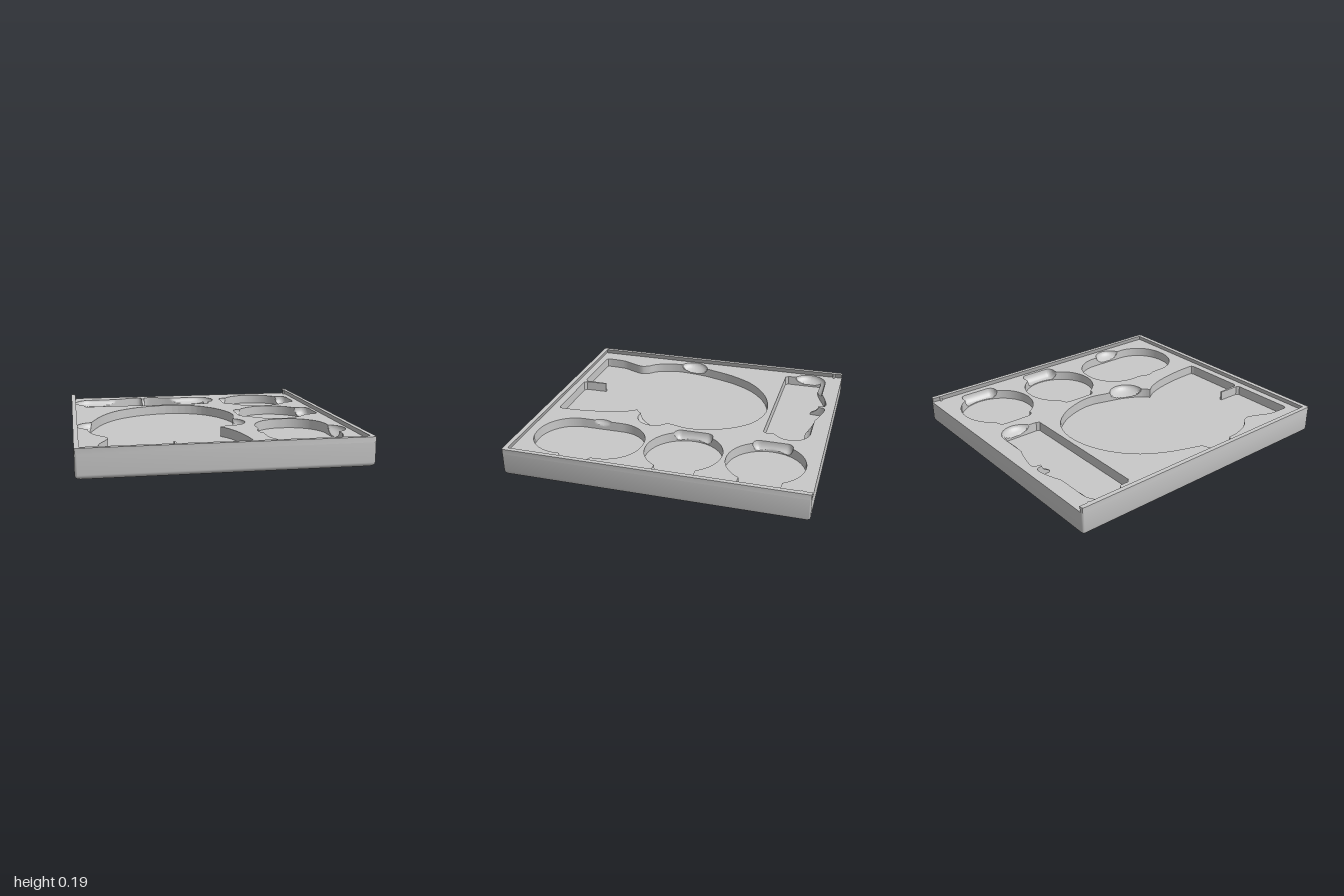
import * as THREE from 'three';
import { toCreasedNormals } from 'three/addons/utils/BufferGeometryUtils.js';

const DECK = 0.155, TOP = 0.19, W = 0.915, L = 1;
const DEPTH = 0.066, GRIP = 0.06; // pocket and finger grip depths
const V = (x, z) => new THREE.Vector2(x, z); // plan points: (x, z)

// flat list x, z, x, z ... -> plan points
const pts = (...n) => Array.from({ length: n.length / 2 }, (_, i) => V(n[2 * i], n[2 * i + 1]));
const smooth = (...n) => new THREE.SplineCurve(pts(...n)).getPoints(n.length * 2);

// rounded rectangle outline, running from +x towards +z
function roundRect(x0, x1, z0, z1, r, steps = 10) {
  const out = [];
  [[x1 - r, z1 - r], [x0 + r, z1 - r], [x0 + r, z0 + r], [x1 - r, z0 + r]].forEach(([x, z], k) => {
    for (let i = 0; i <= steps; i++) {
      const a = (k + i / steps) * Math.PI / 2;
      out.push(V(x + r * Math.cos(a), z + r * Math.sin(a)));
    }
  });
  return out;
}

// skin between stacked outlines: [{ y, ring }]
function loft(levels) {
  const pos = [];
  for (let k = 0; k + 1 < levels.length; k++) {
    const A = levels[k], B = levels[k + 1], n = A.ring.length;
    for (let i = 0; i < n; i++) {
      const j = (i + 1) % n;
      const a = [A.ring[i].x, A.y, A.ring[i].y], b = [A.ring[j].x, A.y, A.ring[j].y];
      const c = [B.ring[j].x, B.y, B.ring[j].y], d = [B.ring[i].x, B.y, B.ring[i].y];
      pos.push(...a, ...d, ...b, ...b, ...d, ...c);
    }
  }
  const g = new THREE.BufferGeometry();
  g.setAttribute('position', new THREE.Float32BufferAttribute(pos, 3));
  return toCreasedNormals(g, 0.6);
}

// flat face looking up (or down) at height y
function face(ring, y, holes = [], down = false) {
  const s = down ? 1 : -1;
  const conv = r => r.map(p => V(p.x, s * p.y));
  const shape = new THREE.Shape(conv(ring));
  shape.holes = holes.map(h => new THREE.Path(conv(h)));
  return new THREE.ShapeGeometry(shape).rotateX(s * Math.PI / 2).translate(0, y, 0);
}

// furthest crossing of a ray from c with a closed outline
function reach(c, ang, poly) {
  const dx = Math.cos(ang), dz = Math.sin(ang);
  let best = 0;
  for (let i = 0; i < poly.length; i++) {
    const p = poly[i], q = poly[(i + 1) % poly.length];
    const ex = q.x - p.x, ez = q.y - p.y, det = dx * ez - dz * ex;
    if (Math.abs(det) < 1e-12) continue;
    const px = p.x - c.x, pz = p.y - c.y;
    const t = (px * ez - pz * ex) / det, u = (px * dz - pz * dx) / det;
    if (u >= -1e-6 && u <= 1 + 1e-6 && t > best) best = t;
  }
  return best;
}

// finger grip outline at depth d: its sides curve in by f along a quarter ellipse
function gripAt({ box: [x0, x1, z0, z1], corner, f }, d) {
  const s = f * (1 - Math.sqrt(Math.max(0, 1 - (d / GRIP) ** 2)));
  return roundRect(x0 + s, x1 - s, z0 + s, z1 - s, Math.max(corner - s, 0.002));
}

// pocket rings from deck to floor, the outline merged with its grips
function pocketLevels({ center, outline, grips }) {
  const angles = Array.from({ length: 400 }, (_, i) => (i / 400) * Math.PI * 2);
  [outline, ...grips.map(g => gripAt(g, 0))].flat().forEach(p => {
    const a = Math.atan2(p.y - center.y, p.x - center.x);
    angles.push((a + Math.PI * 2) % (Math.PI * 2));
  });
  const sorted = angles.sort((a, b) => a - b).filter((a, i, arr) => i === 0 || a - arr[i - 1] > 2e-4);
  const ringOf = polys => sorted.map(a => {
    const r = Math.max(...polys.map(p => reach(center, a, p)));
    return V(center.x + r * Math.cos(a), center.y + r * Math.sin(a));
  });
  const N = 9, levels = [];
  for (let k = 0; k <= N; k++) {
    const d = GRIP * Math.sin(k / N * Math.PI / 2);
    levels.push({ y: DECK - d, ring: ringOf([outline, ...grips.map(g => gripAt(g, d))]) });
  }
  // below the grips only the plain outline goes on
  const plain = ringOf([outline]);
  levels.push({ y: DECK - GRIP, ring: plain }, { y: DECK - DEPTH, ring: plain });
  return levels;
}

const bowl = (x, z, r) => ({ box: [x - r, x + r, z - r, z + r], corner: r, f: r });
const slot = (...box) => ({ box, corner: 0.045, f: 0.045 });
const circle = (x, z, r) => roundRect(x - r, x + r, z - r, z + r, r, 24);

const pockets = {
  largePocket: {
    center: V(-0.3, 0.2),
    outline: [
      ...smooth(0.065, 0.37, 0.115, 0.325, 0.18, 0.2, 0.222, 0.05, 0.245, -0.06, 0.228, -0.185,
        0.16, -0.345, 0.03, -0.48, -0.17, -0.533, -0.395, -0.483, -0.58, -0.355, -0.695, -0.185,
        -0.765, 0, -0.8, 0.13, -0.82, 0.3, -0.8, 0.42, -0.765, 0.495, -0.72, 0.545, -0.7, 0.6,
        -0.725, 0.675, -0.765, 0.77, -0.775, 0.9),
      ...pts(-0.77, 0.92, -0.755, 0.928, -0.325, 0.928, -0.309, 0.91, -0.306, 0.755,
        -0.294, 0.755, -0.291, 0.91, -0.275, 0.928, 0.17, 0.928, 0.185, 0.92),
      ...smooth(0.19, 0.9, 0.18, 0.74, 0.15, 0.56, 0.11, 0.44, 0.068, 0.373),
    ],
    grips: [bowl(-0.77, 0.185, 0.117), bowl(0.145, 0.205, 0.125)],
  },
  longPocket: {
    center: V(-0.334, -0.72),
    outline: [
      ...pts(-0.82, -0.59, -0.8, -0.57, 0.15, -0.57, 0.165, -0.59, 0.165, -0.845, 0.04, -0.84),
      ...smooth(0.02, -0.84, -0.06, -0.865, -0.16, -0.905, -0.27, -0.932, -0.31, -0.93, -0.322, -0.91),
      ...pts(-0.327, -0.83, -0.341, -0.83),
      ...smooth(-0.346, -0.91, -0.358, -0.93, -0.4, -0.932, -0.5, -0.905, -0.6, -0.865, -0.68, -0.84),
      ...pts(-0.7, -0.84, -0.82, -0.845),
    ],
    grips: [{ box: [-0.885, 0.225, -0.885, -0.632], corner: 0.126, f: 0.126 }],
  },
  backRoundPocket: {
    center: V(0.558, -0.662),
    outline: circle(0.558, -0.662, 0.257), grips: [slot(0.283, 0.855, -0.802, -0.533)],
  },
  middleRoundPocket: {
    center: V(0.558, -0.12),
    outline: circle(0.558, -0.12, 0.257), grips: [slot(0.283, 0.875, -0.258, 0.01)],
  },
  ovalPocket: {
    center: V(0.552, 0.54),
    outline: roundRect(0.304, 0.802, 0.163, 0.917, 0.235, 24),
    grips: [bowl(0.765, 0.54, 0.115), bowl(0.395, 0.54, 0.112)],
  },
};

export function createModel() {
  const model = new THREE.Group();
  const grey = new THREE.MeshStandardMaterial({ color: 0xc8c8c8 });
  grey.name = 'plain grey';
  const add = (name, geo, parent = model) => {
    const m = new THREE.Mesh(geo, grey);
    m.name = name;
    parent.add(m);
  };

  // outer walls with a rounded lower edge
  const R = 0.03;
  const outline = s => roundRect(-W + s, W - s, -L + s, L - s, 0.015, 6);
  const walls = [];
  for (let i = 0; i <= 6; i++) {
    const a = (i / 6) * Math.PI / 2;
    walls.push({ y: R * (1 - Math.cos(a)), ring: outline(R * (1 - Math.sin(a))) });
  }
  walls.push({ y: DECK, ring: outline(0) });
  add('outerWalls', loft(walls));
  add('underside', face(outline(R), 0, [], true));

  // recessed pockets
  const holes = [];
  for (const [name, def] of Object.entries(pockets)) {
    const group = new THREE.Group();
    group.name = name;
    const levels = pocketLevels(def), floor = levels[levels.length - 1];
    holes.push(levels[0].ring);
    add(name + 'Wall', loft(levels), group);
    add(name + 'Floor', face(floor.ring, floor.y), group);
    model.add(group);
  }
  add('deck', face(outline(0), DECK, holes));

  // lid rail on three sides, undercut on the inside and open at the back
  const rail = (i, f) => pts(W, -0.985, W, 0.985, 0.911, 0.996, 0.9, L, -0.9, L, -0.911, 0.996,
    -W, 0.985, -W, -0.985, -0.911, -0.996, -0.9, -L, -i, -L, -i, f, i, f, i, -L, 0.9, -L, 0.911, -0.996);
  const low = rail(0.898, 0.98), high = rail(0.885, 0.967);
  add('lidRail', loft([{ y: DECK, ring: low }, { y: TOP, ring: high }]));
  add('lidRailTop', face(high, TOP));

  // small catches near the open end of the rail
  for (const s of [-1, 1]) {
    add(s > 0 ? 'leftCatch' : 'rightCatch',
      new THREE.CylinderGeometry(0.009, 0.009, TOP - DECK, 12).translate(s * 0.888, (TOP + DECK) / 2, -0.937));
  }
  return model;
}
